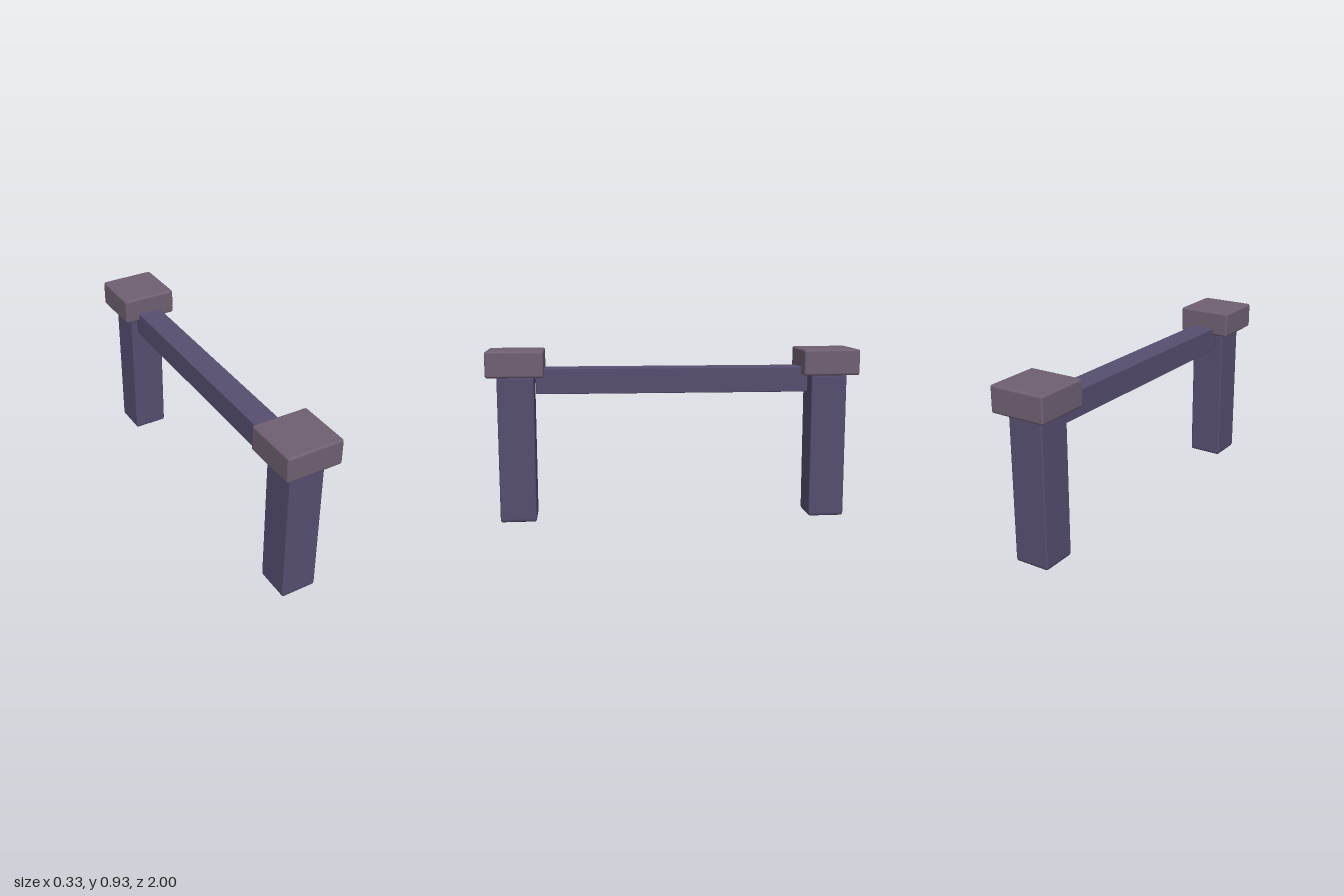
import * as THREE from 'three';
import { RoundedBoxGeometry } from 'three/addons/geometries/RoundedBoxGeometry.js';

const postMaterial = new THREE.MeshStandardMaterial({ color: 0x564e70 });
postMaterial.name = 'dusk purple';
const capMaterial = new THREE.MeshStandardMaterial({ color: 0x6f6072 });
capMaterial.name = 'mauve stone';

// Box with softened edges; stretch lengthens the rounding along one axis.
function softBox(name, material, size, radius, stretch = [1, 1, 1]) {
  const [w, h, d] = size.map((s, i) => s / stretch[i]);
  const geometry = new RoundedBoxGeometry(w, h, d, 2, radius);
  geometry.scale(...stretch);
  const mesh = new THREE.Mesh(geometry, material);
  mesh.name = name;
  return mesh;
}

export function createModel() {
  const model = new THREE.Group();
  model.name = 'railing';

  // Two capped posts, slightly offset sideways
  const offset = 0.0125;
  for (const side of [1, -1]) {
    const support = new THREE.Group();
    support.name = side > 0 ? 'frontSupport' : 'backSupport';

    const post = softBox('post', postMaterial, [0.195, 0.795, 0.195], 0.01, [1, 2, 1]);
    post.position.y = 0.3975;
    const cap = softBox('cap', capMaterial, [0.305, 0.14, 0.305], 0.012);
    cap.position.y = 0.86;

    support.add(post, cap);
    support.position.set(-offset * side, 0, 0.8475 * side);
    model.add(support);
  }

  // Rail between the posts, turned to follow their offset
  const rail = softBox('rail', postMaterial, [0.135, 0.137, 1.475], 0.004, [1, 1, 9]);
  rail.position.set(0, 0.763, 0.002);
  rail.rotation.y = -Math.atan(offset / 0.8475);
  model.add(rail);

  return model;
}
